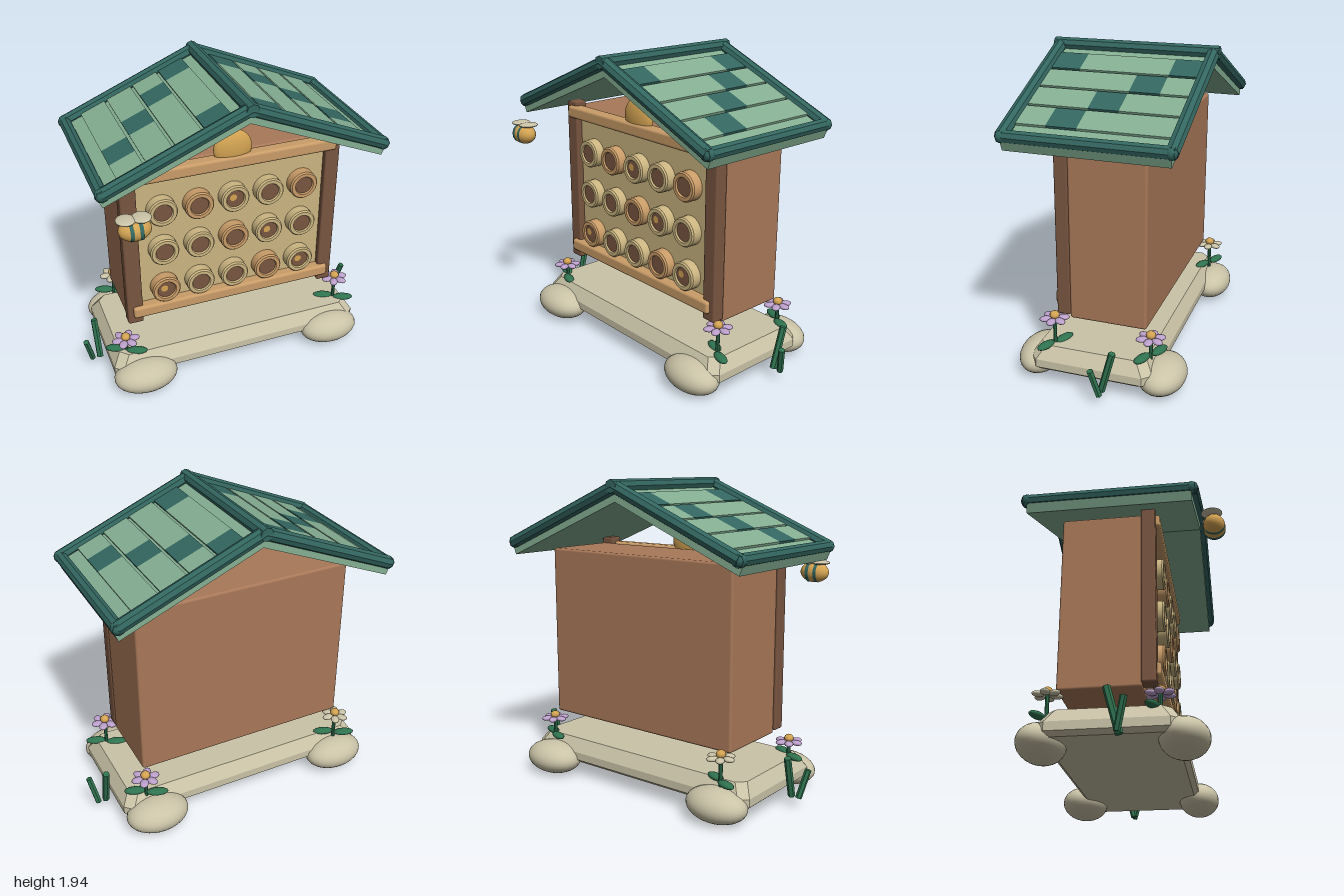
import * as THREE from 'three';
import { toCreasedNormals } from 'three/addons/utils/BufferGeometryUtils.js';
import { RoundedBoxGeometry } from 'three/addons/geometries/RoundedBoxGeometry.js';
import { ConvexGeometry } from 'three/addons/geometries/ConvexGeometry.js';

const colours = {
  wood: 0xa87858, darkWood: 0x795540, beamWood: 0xc99c68, straw: 0xcbb581, gold: 0xd3a352,
  roofGreen: 0x84ae92, teal: 0x336660, stone: 0xcac3a7, leafGreen: 0x2f7350, lilac: 0xbca0cb,
};

export function createModel() {
  const model = new THREE.Group();
  model.name = 'insectHouse';
  const mats = {};
  for (const [name, color] of Object.entries(colours)) {
    mats[name] = new THREE.MeshStandardMaterial({ color });
    mats[name].name = name;
  }

  const add = (parent, name, geometry, mat, x = 0, y = 0, z = 0) => {
    const mesh = new THREE.Mesh(geometry, mats[mat]);
    mesh.name = name;
    mesh.position.set(x, y, z);
    parent.add(mesh);
    return mesh;
  };
  const group = (name, parent = model) => {
    const g = new THREE.Group();
    g.name = name;
    parent.add(g);
    return g;
  };
  const ball = (parent, name, mat, [x, y, z], [rx, ry, rz], seg = 20) =>
    add(parent, name, new THREE.SphereGeometry(1, seg, Math.ceil(seg * 0.6)).scale(rx, ry, rz), mat, x, y, z);
  // Box given by its lower and upper limits, with softened edges
  const block = (name, mat, [x0, x1], [y0, y1], [z0, z1], r = 0.012) =>
    add(model, name, new RoundedBoxGeometry(x1 - x0, y1 - y0, z1 - z0, 2, r), mat,
      (x0 + x1) / 2, (y0 + y1) / 2, (z0 + z1) / 2);
  // Faceted rod between two points
  const rod = (parent, name, mat, a, b, r, sides = 8) => {
    const p = new THREE.Vector3(...a), q = new THREE.Vector3(...b);
    const dir = q.clone().sub(p);
    const geo = toCreasedNormals(new THREE.CylinderGeometry(r, r, dir.length(), sides), 0.3);
    const mesh = add(parent, name, geo, mat, ...p.clone().add(q).multiplyScalar(0.5));
    mesh.quaternion.setFromUnitVectors(new THREE.Vector3(0, 1, 0), dir.normalize());
    return mesh;
  };

  // Stone slab with bevelled edges
  const slabPoints = [];
  for (const [y, hx, hz] of [[0.09, 0.82, 0.35], [0.115, 0.85, 0.38], [0.165, 0.85, 0.38], [0.245, 0.8, 0.33]])
    for (const sx of [-1, 1]) for (const sz of [-1, 1])
      for (const [cx, cz] of [[0.05, 0], [0, 0.05]])
        slabPoints.push(new THREE.Vector3(sx * (hx - cx), y, sz * (hz - cz) - 0.055));
  add(model, 'baseSlab', new ConvexGeometry(slabPoints), 'stone');

  // Corner boulders
  const boulders = group('boulders');
  for (const [x, z, rx, rz] of [[-0.66, 0.33, 0.207, 0.14], [0.655, 0.315, 0.2, 0.13],
    [-0.66, -0.44, 0.2, 0.135], [0.655, -0.455, 0.2, 0.145]])
    ball(boulders, 'boulder', 'stone', [x, 0.105, z], [rx, 0.105, rz], 28);

  // House body and front frame
  block('houseBody', 'wood', [-0.7, 0.7], [0.395, 1.49], [-0.365, 0.11], 0.015);
  block('nestPanel', 'straw', [-0.62, 0.62], [0.46, 1.46], [0.09, 0.15]);
  for (const s of [-1, 1])
    block('frontPost', 'darkWood', s < 0 ? [-0.715, -0.615] : [0.61, 0.705], [0.415, 1.53], [0.105, 0.19]);
  block('topBeam', 'beamWood', [-0.68, 0.67], [1.42, 1.5], [0.13, 0.215], 0.018);
  block('bottomBeam', 'beamWood', [-0.68, 0.67], [0.465, 0.545], [0.13, 0.215], 0.018);
  ball(model, 'gableBadge', 'gold', [-0.003, 1.535, 0.16], [0.122, 0.12, 0.045], 32);

  // Nesting tubes: ring, dark hole and sometimes a golden plug
  const ring = toCreasedNormals(new THREE.LatheGeometry([[0.092, 0], [0.092, 0.062], [0.084, 0.072], [0.062, 0.072], [0.057, 0.064], [0.057, 0]]
    .map(([x, y]) => new THREE.Vector2(x, y)), 28), 0.5).rotateX(Math.PI / 2);
  const hole = new THREE.CircleGeometry(0.06, 28);
  const plug = new THREE.CircleGeometry(0.023, 16);
  const warmRings = ['0,1', '0,4', '1,2', '2,0', '2,3'];
  const plugged = ['0,2', '1,3', '2,0', '2,4'];
  const tubes = group('nestingTubes');
  [1.21, 0.928, 0.643].forEach((y, row) => {
    for (let col = 0; col < 5; col++) {
      const key = `${row},${col}`, x = -0.462 + col * 0.23;
      add(tubes, 'tubeRing', ring, warmRings.includes(key) ? 'beamWood' : 'straw', x, y, 0.148);
      add(tubes, 'tubeHole', hole, 'darkWood', x, y, 0.209);
      if (plugged.includes(key)) add(tubes, 'tubePlug', plug, 'gold', x - 0.014, y + 0.012, 0.213);
    }
  });

  // Roof deck: one folded slab
  const pitch = Math.atan(0.415);
  const chevron = new THREE.Shape([[0, 1.81], [0.86, 1.453], [0.887, 1.518], [0, 1.886], [-0.887, 1.518], [-0.86, 1.453]]
    .map(([x, y]) => new THREE.Vector2(x, y)));
  add(model, 'roofDeck', new THREE.ExtrudeGeometry(chevron, { depth: 0.965, bevelEnabled: false }), 'roofGreen', 0, 0, -0.545);

  // Roof planks made of five tiles, with a diagonal of dark ones
  const tile = new THREE.BoxGeometry(0.168, 0.03, 0.182);
  for (const s of [-1, 1]) {
    const side = group(s < 0 ? 'rightRoofPlanks' : 'leftRoofPlanks');
    side.position.y = 1.886;
    side.rotation.z = -s * pitch;
    for (let i = 0; i < 4; i++)
      for (let j = 0; j < 5; j++) {
        const dark = j === i || (i === 0 && j === 4);
        add(side, dark ? 'darkTile' : 'lightTile', tile, dark ? 'teal' : 'roofGreen',
          s * (0.165 + 0.171 * i) / Math.cos(pitch), 0, -0.434 + 0.182 * j);
      }
  }

  // Roof trim
  const trim = group('roofTrim');
  for (const s of [-1, 1]) {
    for (const z of [-0.545, 0.42]) {
      rod(trim, 'rakeTrim', 'teal', [0, 1.898, z], [s * 0.866, 1.535, z], 0.04);
      ball(trim, 'trimCorner', 'teal', [s * 0.866, 1.535, z], [0.036, 0.038, 0.036], 10);
    }
    rod(trim, 'eaveTrim', 'teal', [s * 0.86, 1.535, -0.565], [s * 0.86, 1.535, 0.44], 0.038);
  }
  rod(trim, 'ridgeTrim', 'teal', [0, 1.9, -0.582], [0, 1.9, 0.457], 0.04);

  // Flowers: stem, two leaves, six petals and a golden heart
  for (const [x, y, z, petal] of [[-0.75, 0.325, 0.215, 'lilac'], [0.745, 0.403, 0.19, 'lilac'],
    [0.7, 0.35, -0.395, 'lilac'], [-0.67, 0.383, -0.415, 'stone']]) {
    const flower = group('flower');
    flower.position.set(x, 0, z);
    rod(flower, 'stem', 'leafGreen', [0, 0.2, 0], [0, y, 0], 0.012, 8);
    for (const s of [-1, 1]) {
      const leaf = ball(flower, 'leaf', 'leafGreen', [s * 0.06, 0.245, s * 0.035], [0.068, 0.02, 0.032], 14);
      leaf.rotation.y = -0.35;
    }
    for (let i = 0; i < 6; i++) {
      const a = i * Math.PI / 3;
      const p = ball(flower, 'petal', petal, [Math.cos(a) * 0.053, y, Math.sin(a) * 0.053], [0.038, 0.016, 0.027], 12);
      p.rotation.y = -a;
    }
    ball(flower, 'flowerHeart', 'gold', [0, y + 0.022, 0], [0.03, 0.025, 0.03], 14);
  }

  // Grass blades
  const grass = group('grass');
  for (const [s, z] of [[-1, 0.02], [1, -0.155]]) {
    rod(grass, 'tallBlade', 'leafGreen', [s * 0.89, 0.065, z], [s * 0.895, 0.325, z - 0.07], 0.022, 6);
    rod(grass, 'shortBlade', 'leafGreen', [s * 0.94, 0.065, z - 0.005], [s * 0.978, 0.24, z + 0.035], 0.02, 6);
  }

  // Hovering bee with stripes following the body curve
  const bee = group('bee');
  bee.position.set(-0.718, 1.355, 0.535);
  ball(bee, 'beeBody', 'gold', [0, 0, 0], [0.095, 0.065, 0.065], 28);
  for (const x of [-0.028, 0.026]) {
    const r = 0.067 * Math.sqrt(1 - (x / 0.095) ** 2);
    const stripe = add(bee, 'beeStripe', new THREE.CylinderGeometry(r, r, 0.022, 24, 1, true), 'teal', x);
    stripe.rotation.z = Math.PI / 2;
  }
  for (const s of [-1, 1])
    ball(bee, 'beeWing', 'stone', [s * 0.045 - 0.002, 0.063, -0.01], [0.056, 0.014, 0.062], 18);

  return model;
}
